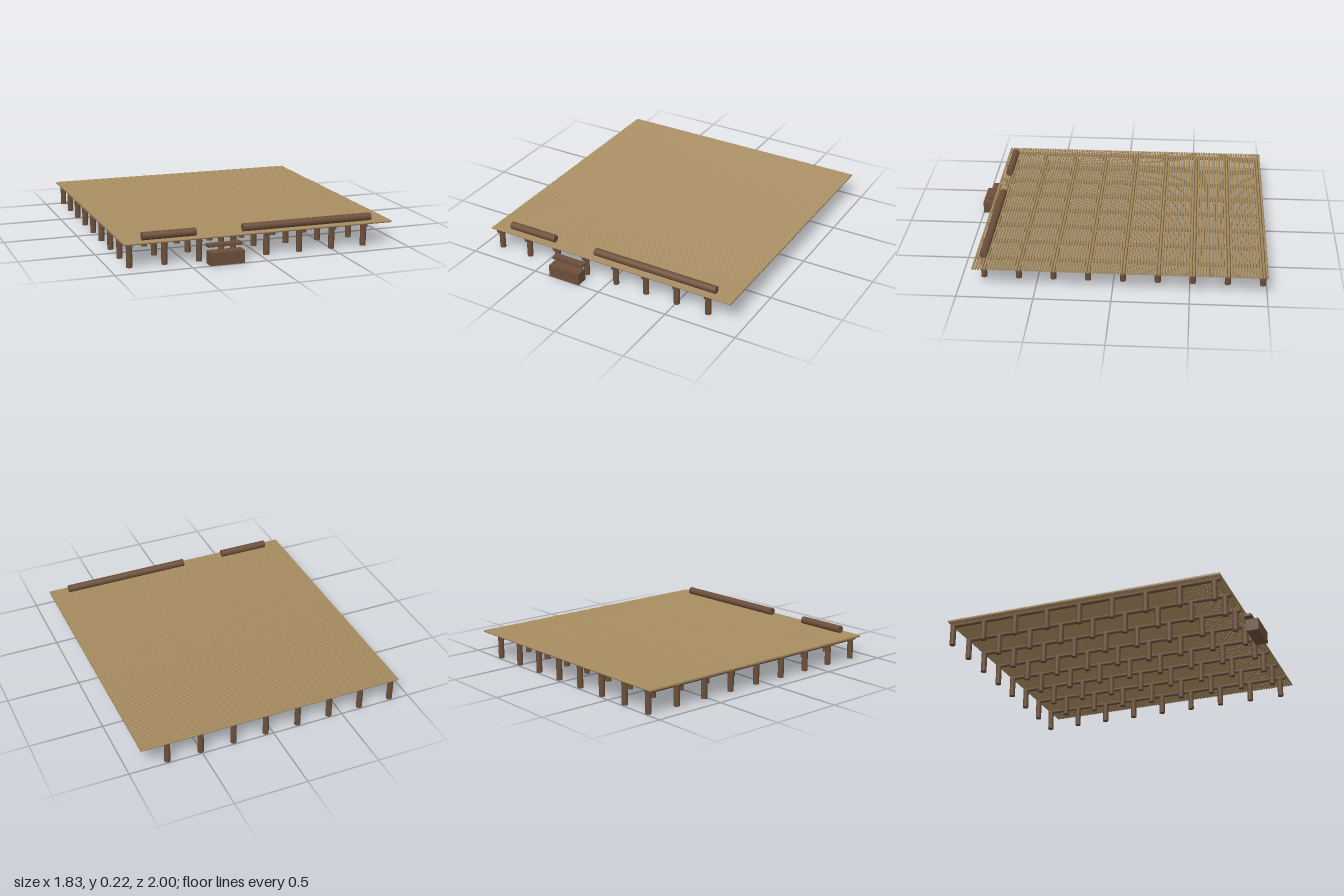
import * as THREE from 'three';

export function createModel() {
  const model = new THREE.Group();
  const darkWood = new THREE.MeshStandardMaterial({ color: 0x6b4f3a });
  const paleWood = new THREE.MeshStandardMaterial({ color: 0xa68b5e });
  darkWood.name = 'darkWood';
  paleWood.name = 'paleWood';

  const add = (parent, name, geometry, material, x, y, z) => {
    const mesh = new THREE.Mesh(geometry, material);
    mesh.name = name;
    mesh.position.set(x, y, z);
    parent.add(mesh);
    return mesh;
  };
  const group = (name) => {
    const g = new THREE.Group();
    g.name = name;
    model.add(g);
    return g;
  };

  // Deck of thin round poles laid side by side with narrow gaps
  const deck = group('deck');
  const poleCount = 102;
  const poleGeometry = new THREE.CylinderGeometry(0.008, 0.008, 1.83, 10).rotateZ(Math.PI / 2);
  for (let i = 0; i < poleCount; i++) {
    const z = -0.992 + (i * 1.889) / (poleCount - 1);
    add(deck, 'deckPole', poleGeometry, paleWood, 0, 0.159, z);
  }

  // Joists front to back, each on a row of posts
  const supports = group('supports');
  const pitch = 0.229;
  const postGeometry = new THREE.CylinderGeometry(0.02, 0.02, 0.138, 16);
  const joistGeometry = new THREE.CylinderGeometry(0.013, 0.013, 1.89, 12).rotateX(Math.PI / 2);
  for (let col = 0; col < 8; col++) {
    const x = -0.87 + col * pitch;
    add(supports, 'joist', joistGeometry, darkWood, x, 0.14, -0.05);
    for (let row = 0; row < 9; row++) {
      add(supports, 'post', postGeometry, darkWood, x, 0.069, 0.855 - row * pitch);
    }
  }

  // Edge logs on either side of the entrance
  const edgeLogs = group('edgeLogs');
  for (const [from, to] of [[-0.785, -0.43], [-0.115, 0.785]]) {
    const log = new THREE.CylinderGeometry(0.026, 0.026, to - from, 20).rotateZ(Math.PI / 2);
    add(edgeLogs, 'edgeLog', log, darkWood, (from + to) / 2, 0.19, 0.845);
  }

  // Entrance steps
  const steps = group('steps');
  add(steps, 'lowerStep', new THREE.BoxGeometry(0.23, 0.083, 0.082), darkWood, -0.27, 0.0415, 0.959);
  add(steps, 'upperStep', new THREE.BoxGeometry(0.23, 0.018, 0.052), darkWood, -0.27, 0.116, 0.928);

  return model;
}
